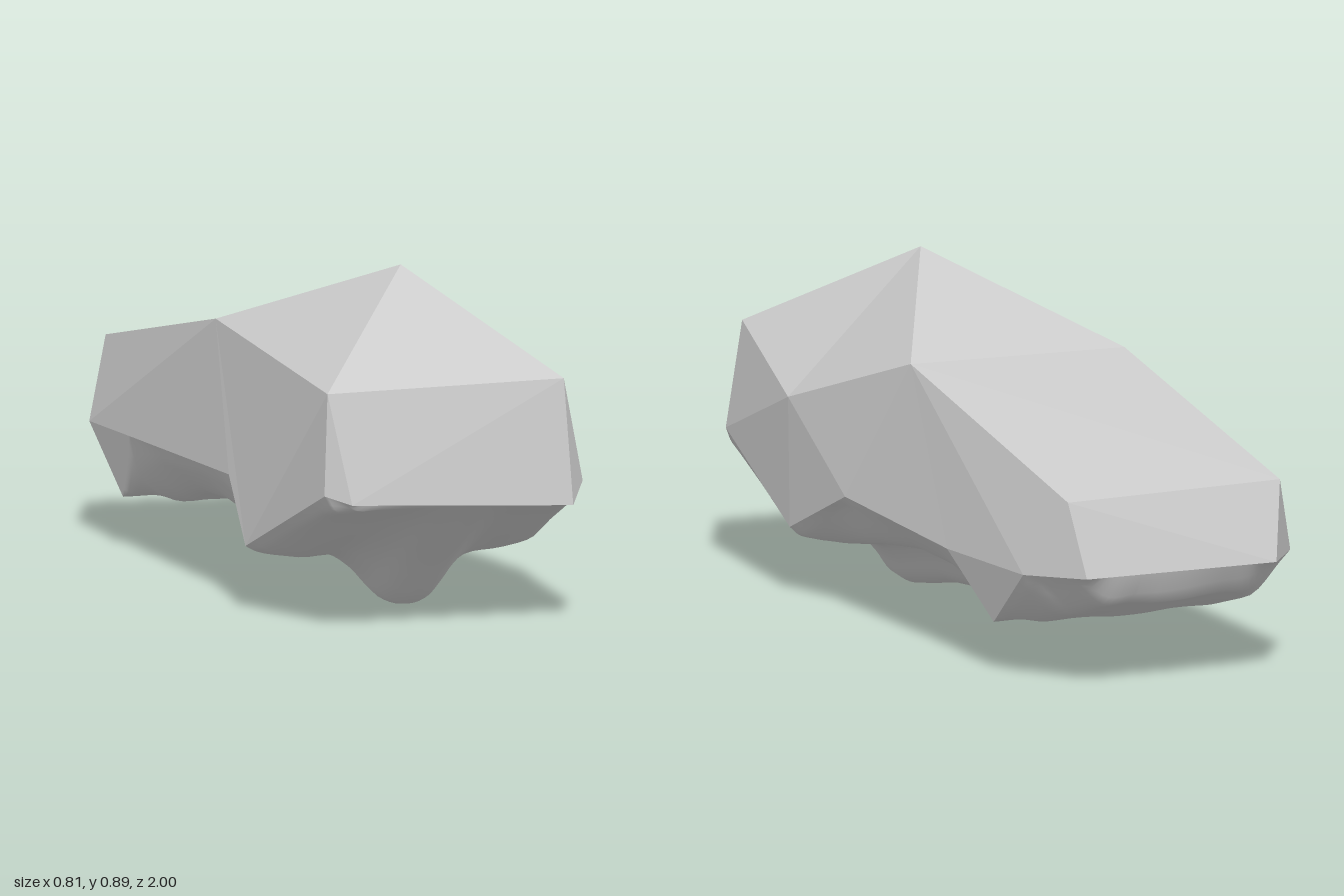
import * as THREE from 'three';

const material = new THREE.MeshStandardMaterial({ color: 0xcccccc });
const facetedMaterial = new THREE.MeshStandardMaterial({ color: 0xcccccc, flatShading: true });

// Lower rim of each side, front to back, shared by shell and underside
const rimRight = [[-0.28, 0.35, 0.998], [-0.34, 0.37, 0.95], [-0.405, 0.175, 0.5], [-0.38, 0.33, 0.29],
  [-0.385, 0.31, -0.5], [-0.37, 0.135, -0.6], [-0.385, 0.3, -0.83], [-0.26, 0.31, -1]];
const rimLeft = [[0.33, 0.318, 0.982], [0.38, 0.37, 0.91], [0.4, 0.185, 0.5], [0.39, 0.32, 0.2],
  [0.385, 0.29, -0.38], [0.36, 0.135, -0.6], [0.38, 0.3, -0.81], [0.28, 0.31, -0.98]];

// Corners of the upper body
const peak = [0.02, 0.893, 0.5], sideLeft = [0.405, 0.53, 0.5];
const frontRight = [-0.325, 0.635, 0.93], frontLeft = [0.32, 0.645, 0.935];
const roofRight = [-0.315, 0.69, -0.01], roofLeft = [0.31, 0.705, -0.02];
const backRight = [-0.31, 0.51, -0.92], backLeft = [0.305, 0.505, -0.92];

// Flat panels, each turned to face away from the body's long axis
function panels(name, triangles) {
  const positions = [];
  for (const tri of triangles) {
    const [a, b, c] = tri.map(p => new THREE.Vector3(...p));
    const centre = a.clone().add(b).add(c).divideScalar(3);
    const inside = new THREE.Vector3(0, 0.38, THREE.MathUtils.clamp(centre.z, -0.6, 0.6));
    const normal = b.clone().sub(a).cross(c.clone().sub(a));
    const order = normal.dot(centre.sub(inside)) > 0 ? [a, b, c] : [a, c, b];
    order.forEach(p => positions.push(p.x, p.y, p.z));
  }
  const geometry = new THREE.BufferGeometry();
  geometry.setAttribute('position', new THREE.Float32BufferAttribute(positions, 3));
  geometry.computeVertexNormals();
  const mesh = new THREE.Mesh(geometry, facetedMaterial);
  mesh.name = name;
  return mesh;
}

// Triangles joining one corner to consecutive points of a path
const fan = (apex, ...path) => path.slice(1).map((p, i) => [apex, path[i], p]);

// Underside heights as [z, y] along the keel, the shoulders and just inside the rim
const keel = [[0.99, 0.335], [0.88, 0.26], [0.7, 0.13], [0.6, 0.04], [0.55, 0.008], [0.51, 0], [0.4, 0.02],
  [0.25, 0.05], [0, 0.07], [-0.1, 0.08], [-0.4, 0.135], [-0.68, 0.135], [-0.95, 0.225], [-1, 0.31]];
const shoulder = [[0.99, 0.335], [0.88, 0.295], [0.7, 0.21], [0.55, 0.145], [0.45, 0.14], [0.25, 0.18],
  [0, 0.21], [-0.25, 0.2], [-0.45, 0.14], [-0.65, 0.135], [-0.83, 0.19], [-0.95, 0.235], [-1, 0.31]];
const edge = [[0.99, 0.335], [0.9, 0.315], [0.7, 0.235], [0.52, 0.155], [0.46, 0.165], [0.25, 0.28],
  [0, 0.28], [-0.35, 0.26], [-0.5, 0.2], [-0.6, 0.135], [-0.68, 0.175], [-0.83, 0.27], [-0.95, 0.29], [-1, 0.31]];

function heightAt(profile, z) {
  for (let i = 1; i < profile.length; i++) {
    const [z0, y0] = profile[i - 1], [z1, y1] = profile[i];
    if (z >= z1) return THREE.MathUtils.mapLinear(Math.min(z, z0), z0, z1, y0, y1);
  }
  return profile[profile.length - 1][1];
}

function rimPoint(rim, t) {
  const i = Math.min(Math.floor(t), rim.length - 2);
  return new THREE.Vector3(...rim[i]).lerp(new THREE.Vector3(...rim[i + 1]), t - i);
}

// Cross-section: [fraction of width, blend from keel (0) to outer profile (1), outer profile]
const section = [[0.04, 1, edge], [0.15, 1, shoulder], [0.28, 1, shoulder], [0.37, 0.66, shoulder],
  [0.45, 0.16, shoulder], [0.53, 0, shoulder], [0.6, 0.15, shoulder], [0.66, 0.6, shoulder],
  [0.72, 0.9, shoulder], [0.85, 1, shoulder], [0.96, 1, edge]];

// Smooth belly: cross-sections swept from the front rim to the back rim
function underside() {
  const steps = 8, columns = 48, rows = (rimLeft.length - 1) * steps;
  const positions = [], index = [];
  for (let r = 0; r <= rows; r++) {
    const right = rimPoint(rimRight, r / steps), left = rimPoint(rimLeft, r / steps);
    const inner = section.map(([f, blend, outer]) => {
      const p = right.clone().lerp(left, f);
      if (r > 0 && r < rows) p.y = THREE.MathUtils.lerp(heightAt(keel, p.z), heightAt(outer, p.z), blend);
      return p;
    });
    const curve = new THREE.CatmullRomCurve3([right, ...inner, left]);
    for (let c = 0; c <= columns; c++) {
      const p = curve.getPoint(c / columns);
      positions.push(p.x, Math.max(p.y, 0), p.z);
      if (r < rows && c < columns) {
        const a = r * (columns + 1) + c, b = a + columns + 1;
        index.push(a, b, a + 1, a + 1, b, b + 1);
      }
    }
  }
  const geometry = new THREE.BufferGeometry();
  geometry.setAttribute('position', new THREE.Float32BufferAttribute(positions, 3));
  geometry.setIndex(index);
  geometry.computeVertexNormals();
  const mesh = new THREE.Mesh(geometry, material);
  mesh.name = 'underside';
  return mesh;
}

export function createModel() {
  const group = new THREE.Group();
  group.name = 'facetedBody';
  const R = rimRight, L = rimLeft;

  group.add(panels('roof', [
    ...fan(peak, sideLeft, roofLeft, roofRight, frontRight, frontLeft, sideLeft),
    ...fan(roofLeft, roofRight, backRight, backLeft),
  ]));
  group.add(panels('frontPanel', fan(frontLeft, frontRight, R[0], L[0])));
  group.add(panels('backPanel', fan(backLeft, backRight, R[7], L[7])));

  // Left wall has an extra corner at the widest point
  group.add(panels('leftWall', [
    [frontLeft, L[0], L[1]],
    ...fan(sideLeft, frontLeft, L[1], L[2], L[3], roofLeft),
    ...fan(roofLeft, L[3], L[4], L[6], backLeft),
    [L[4], L[5], L[6]],
    [backLeft, L[6], L[7]],
  ]));
  group.add(panels('rightWall', [
    ...fan(frontRight, R[0], R[1], R[2]),
    ...fan(roofRight, frontRight, R[2], R[3], R[4], R[6], backRight),
    [R[4], R[5], R[6]],
    [backRight, R[6], R[7]],
  ]));

  group.add(underside());
  return group;
}
